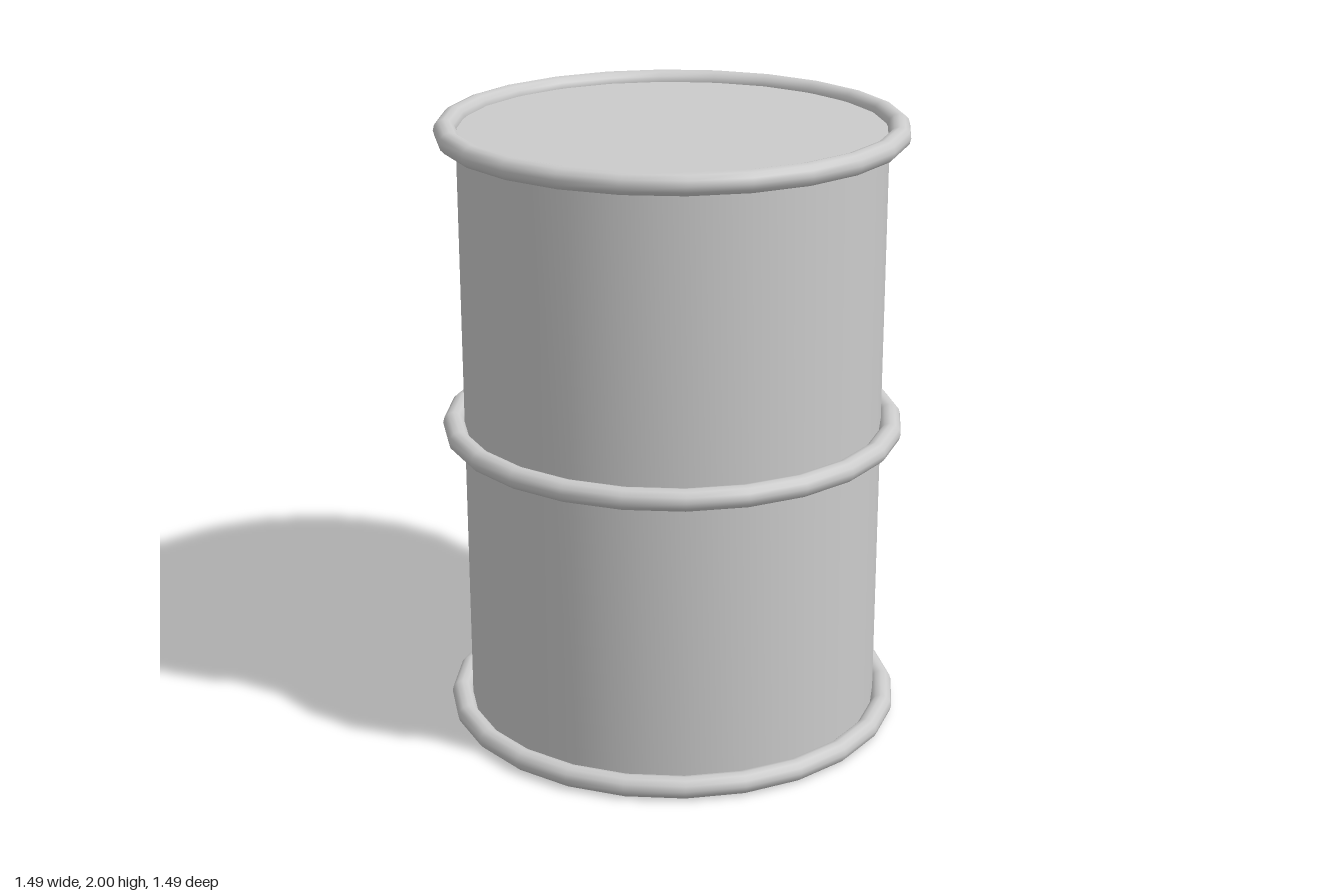
import * as THREE from 'three';
import { toCreasedNormals } from 'three/addons/utils/BufferGeometryUtils.js';

const RADIUS = 0.675, INNER = 0.63, TUBE = 0.035;
const BOTTOM = TUBE, TOP = 2 - TUBE;

export function createModel() {
  const drum = new THREE.Group();
  drum.name = 'drum';
  const material = new THREE.MeshStandardMaterial({ color: 0xcccccc });

  // Thick-walled shell: closed lid on top, hollow and open underneath
  const profile = [
    [0, TOP - 0.045], [INNER, TOP - 0.045], [INNER, BOTTOM],
    [RADIUS, BOTTOM], [RADIUS, TOP], [0, TOP],
  ].map(([r, y]) => new THREE.Vector2(r, y));
  const shell = new THREE.Mesh(
    toCreasedNormals(new THREE.LatheGeometry(profile, 32), Math.PI / 5), material);
  shell.name = 'shell';
  drum.add(shell);

  // Rolled hoops at the base, the waist and the top rim
  const hoopGeometry = new THREE.TorusGeometry(RADIUS + TUBE, TUBE, 12, 24);
  hoopGeometry.rotateX(Math.PI / 2);
  const hoops = { bottomHoop: BOTTOM, middleHoop: 1, topHoop: TOP };
  for (const [name, y] of Object.entries(hoops)) {
    const hoop = new THREE.Mesh(hoopGeometry, material);
    hoop.name = name;
    hoop.position.y = y;
    drum.add(hoop);
  }

  return drum;
}
